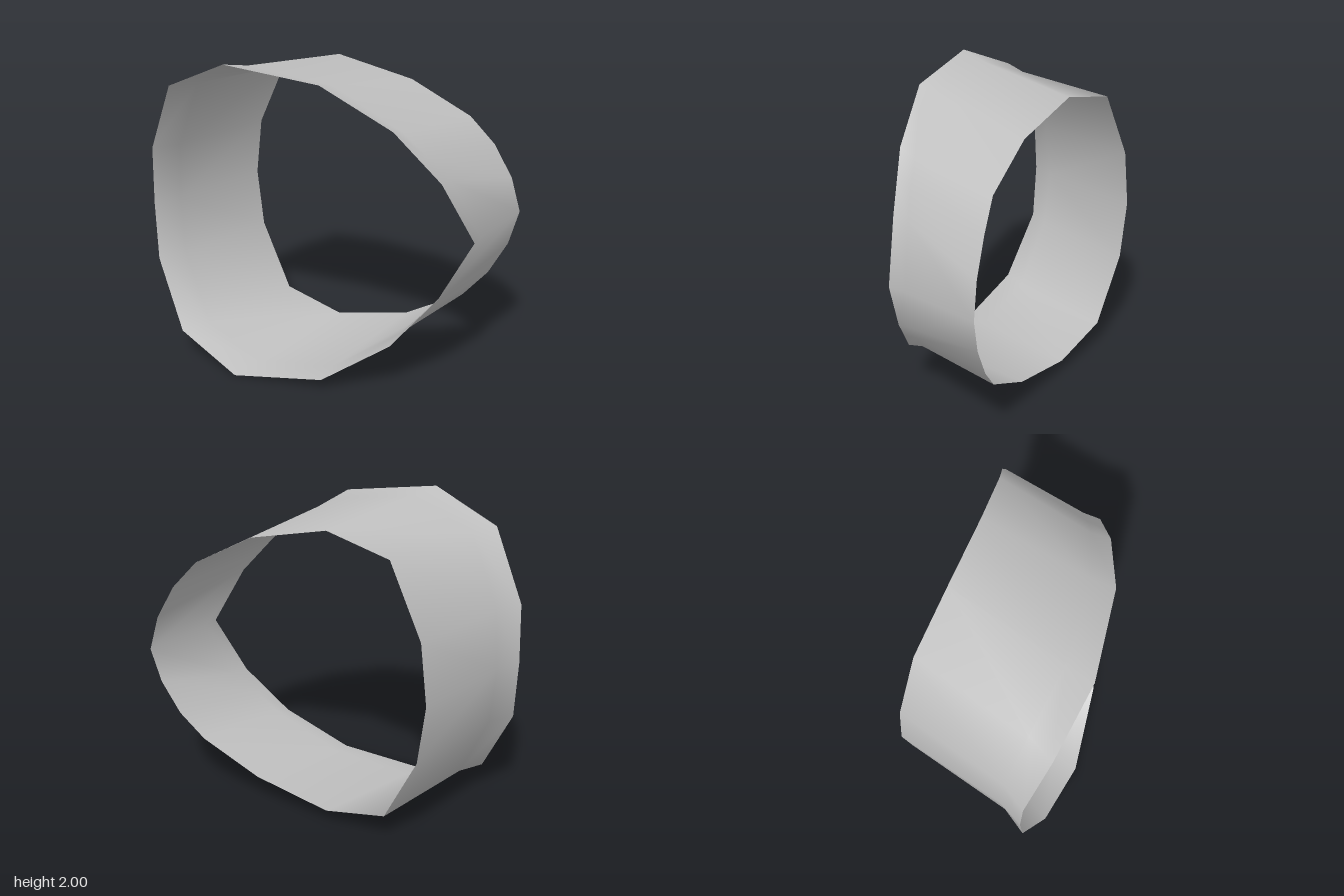
import * as THREE from 'three';

// Upper half of each ring, from the +x side over the top to the -x side: x, y, z
const frontRim = [
  [0.955, 1, -0.14], [0.81, 1.36, 0], [0.71, 1.515, 0.1], [0.61, 1.67, 0.2], [0.28, 1.925, 0.455],
  [-0.25, 2, 0.7], [-0.685, 1.815, 0.765], [-0.915, 1.375, 0.75], [-0.935, 1, 0.745],
];
const crease = [
  [0.92, 1, -0.25], [0.785, 1.35, -0.11], [0.69, 1.495, -0.01], [0.585, 1.635, 0.08], [0.25, 1.895, 0.31],
  [-0.25, 1.965, 0.51], [-0.65, 1.805, 0.575], [-0.865, 1.37, 0.57], [-0.905, 1, 0.56],
];
const backRim = [
  [0.83, 1, -0.765], [0.78, 1.22, -0.73], [0.68, 1.43, -0.67], [0.55, 1.6, -0.585], [0.2, 1.8, -0.435],
  [-0.28, 1.91, -0.28], [-0.69, 1.81, -0.19], [-0.91, 1.375, -0.16], [-0.96, 1, -0.155],
];

// Close a half ring by mirroring it about y = 1
function fullRing(half) {
  const lower = half.slice(1, -1).reverse().map(([x, y, z]) => [x, 2 - y, z]);
  return [...half, ...lower];
}

// Join rings, listed front to back, into one smooth open band
function loftRings(rings) {
  const n = rings[0].length;
  const index = [];
  for (let r = 0; r < rings.length - 1; r++) {
    for (let i = 0; i < n; i++) {
      const j = (i + 1) % n;
      const a = r * n + i, b = r * n + j, c = a + n, d = b + n;
      // Split quads symmetrically above and below the middle
      if (i < n / 2) index.push(a, c, b, b, c, d);
      else index.push(a, c, d, a, d, b);
    }
  }
  const geometry = new THREE.BufferGeometry();
  geometry.setAttribute('position', new THREE.Float32BufferAttribute(rings.flat(2), 3));
  geometry.setIndex(index);
  geometry.computeVertexNormals();
  return geometry;
}

export function createModel() {
  const group = new THREE.Group();
  group.name = 'curvedBand';
  const grey = new THREE.MeshStandardMaterial({ color: 0xc0c0c0, side: THREE.DoubleSide });
  grey.name = 'light grey';

  // Open band with a narrow flared lip along its front rim
  const band = new THREE.Mesh(loftRings([frontRim, crease, backRim].map(fullRing)), grey);
  band.name = 'band';
  group.add(band);
  return group;
}
